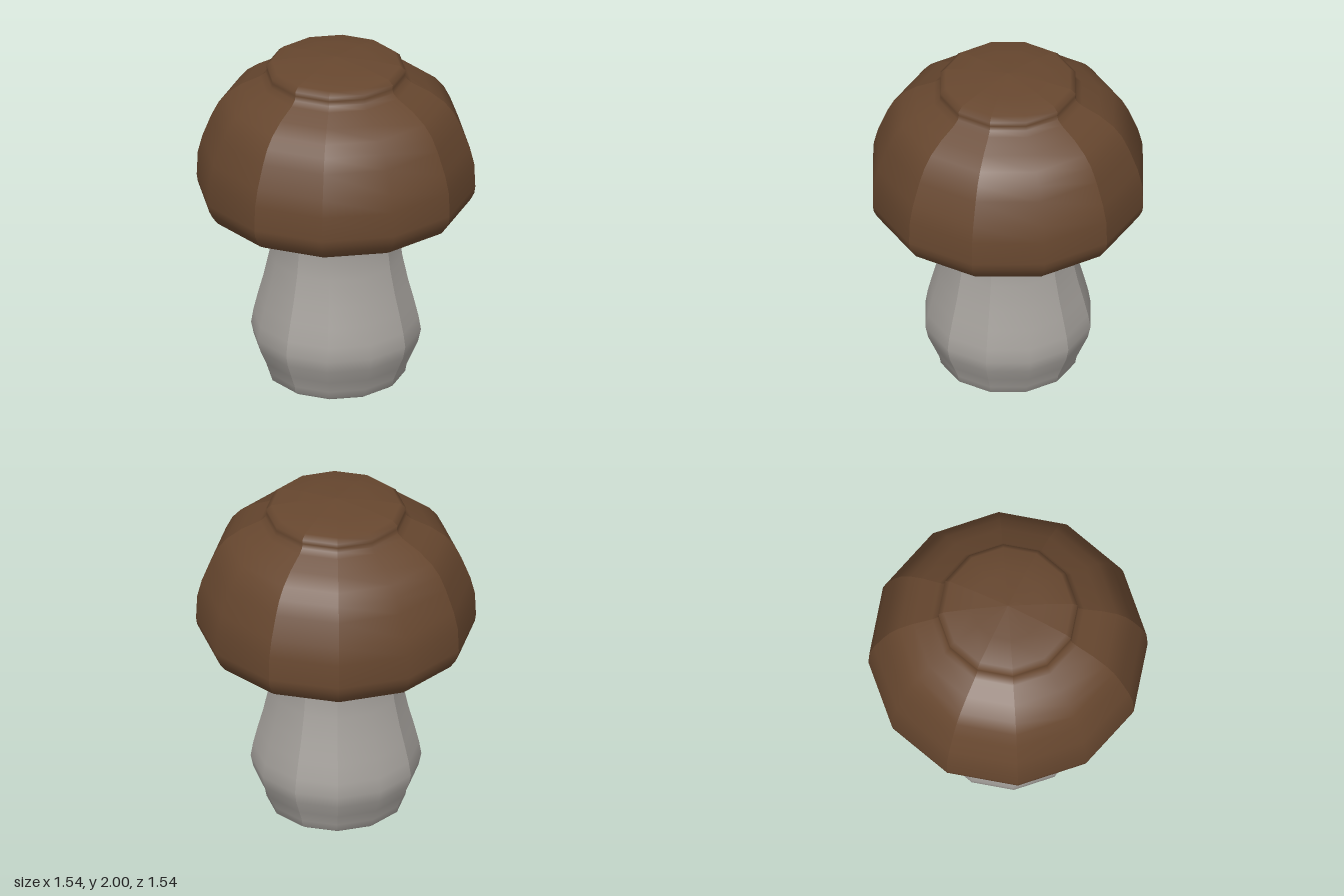
import * as THREE from 'three';
import { mergeGeometries } from 'three/addons/utils/BufferGeometryUtils.js';

const SIDES = 12;

// Twelve-sided turned form: smooth along the profile, creased between the sides
// except at the four axis edges, where neighbouring sides blend.
function facetedLathe(profile) {
  const points = profile.map(([r, y]) => new THREE.Vector2(r, y));
  const step = (Math.PI * 2) / SIDES;
  const facets = [];
  for (let i = 0; i < SIDES; i++) {
    const facet = new THREE.LatheGeometry(points, 1, i * step, step);
    const normal = facet.attributes.normal;
    for (let v = 0; v < normal.count; v++) {
      const edge = i + Math.floor(v / points.length);
      const angle = edge % 3 === 0 ? edge * step : (i + 0.5) * step;
      const outward = Math.sin(edge * step) * normal.getX(v) + Math.cos(edge * step) * normal.getZ(v);
      normal.setXYZ(v, outward * Math.sin(angle), normal.getY(v), outward * Math.cos(angle));
    }
    facets.push(facet);
  }
  return mergeGeometries(facets);
}

export function createModel() {
  const brown = new THREE.MeshStandardMaterial({ color: 0x67472f });
  brown.name = 'capBrown';
  const grey = new THREE.MeshStandardMaterial({ color: 0xa5a19c });
  grey.name = 'stemGrey';

  const group = new THREE.Group();
  group.name = 'mushroom';

  const add = (name, profile, material) => {
    const mesh = new THREE.Mesh(facetedLathe(profile), material);
    mesh.name = name;
    group.add(mesh);
  };

  // Stem: shallow pointed foot, bulge, narrow neck flaring into the cap
  add('stem', [
    [0, 0], [0.2, 0.03], [0.355, 0.07], [0.383, 0.09], [0.39, 0.13],
    [0.42, 0.2], [0.455, 0.28], [0.47, 0.35], [0.457, 0.43], [0.43, 0.54],
    [0.4, 0.65], [0.367, 0.8], [0.352, 0.92], [0.36, 1.02], [0.385, 1.13],
  ], grey);

  // Cap: hollowed underside, rounded rim, dome and raised crown
  add('cap', [
    [0.37, 1.13], [0.42, 1.17], [0.48, 1.21], [0.54, 1.19], [0.6, 1.12],
    [0.63, 1.103], [0.68, 1.1], [0.715, 1.12], [0.745, 1.16], [0.765, 1.2],
    [0.771, 1.24], [0.765, 1.38], [0.74, 1.48], [0.69, 1.61], [0.65, 1.69],
    [0.6, 1.75], [0.52, 1.81], [0.42, 1.86], [0.39, 1.885], [0.383, 1.91],
    [0.385, 1.935], [0.355, 1.96], [0.2, 1.985], [0, 2],
  ], brown);

  return group;
}
